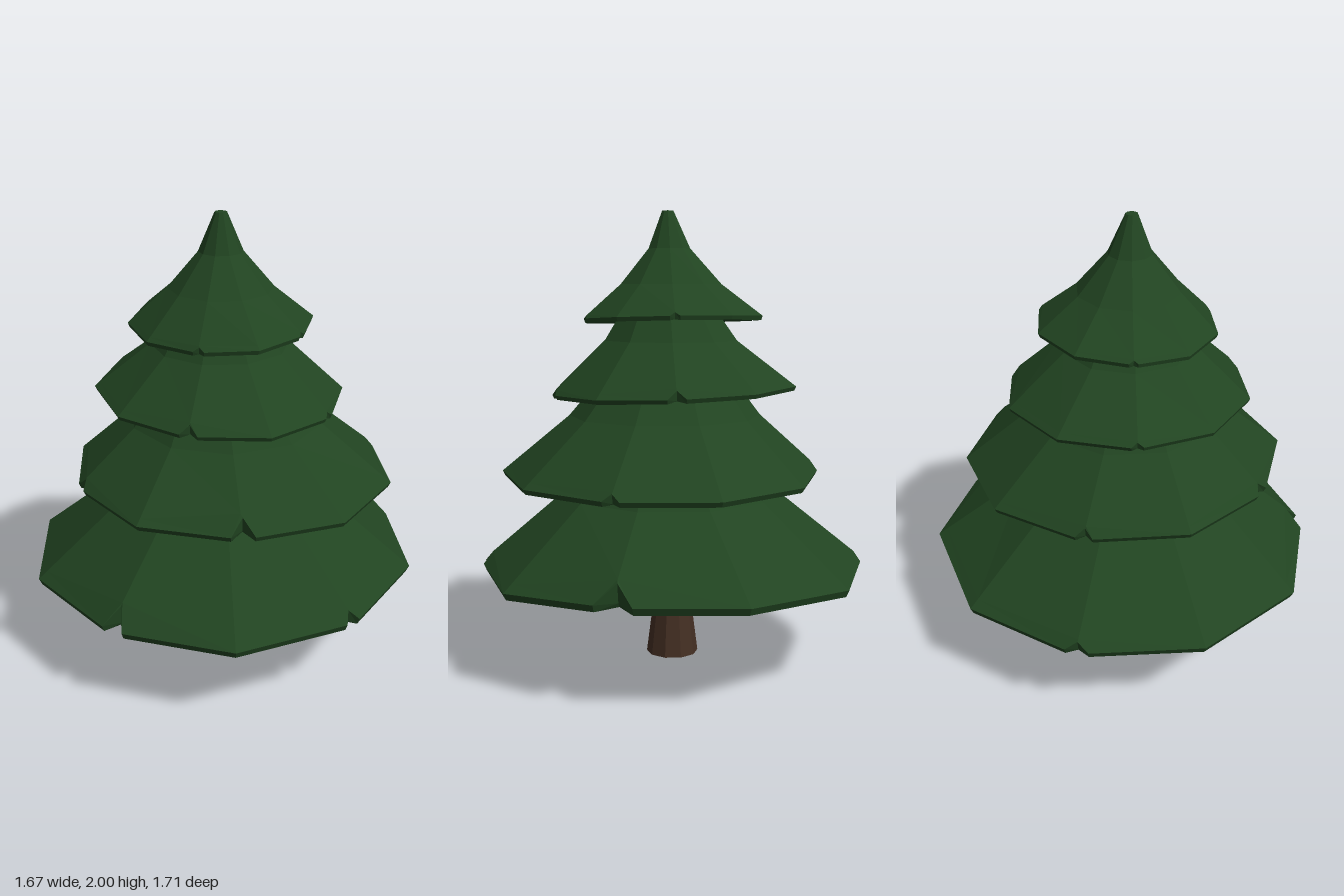
import * as THREE from 'three';

const SIDES = 10;
const needleMat = new THREE.MeshStandardMaterial({ color: 0x214421, flatShading: true });
const barkMat = new THREE.MeshStandardMaterial({ color: 0x442f23, flatShading: true });
const TIP = { x: -0.025, z: 0.022 };

// rings: [radius, height] from the rim upward;
// notches: { corner: [depth as a share of the radius, width as a share of the side] };
// raised: { corner: extra height of the rim }
const tiers = [
  { name: 'bottomBranches', x: 0, z: 0, turn: 0, stretchZ: 1, thick: 0.03, tiltX: 0.003, tiltZ: 0,
    rings: [[0.877, 0.428], [0.485, 0.75], [0.27, 1.0]],
    notches: { 0: [0.06, 0.07], 2: [0.115, 0.16], 5: [0.05, 0.1], 8: [0.11, 0.1] },
    raised: { 2: 0.025, 3: 0.025 } },
  { name: 'lowerMiddleBranches', x: 0.017, z: 0.05, turn: 0, stretchZ: 0.99, thick: 0.022, tiltX: -0.018, tiltZ: 0,
    rings: [[0.722, 0.853], [0.43, 1.1], [0.22, 1.36]],
    notches: { 2: [0.05, 0.09], 5: [0.06, 0.09], 7: [0.06, 0.09], 9: [0.11, 0.12] }, raised: {} },
  { name: 'upperMiddleBranches', x: -0.015, z: 0, turn: Math.PI / 10, stretchZ: 1.035, thick: 0.018, tiltX: -0.005, tiltZ: -0.035,
    rings: [[0.54, 1.222], [0.3, 1.435], [0.14, 1.68]],
    notches: { 0: [0.04, 0.08], 2: [0.075, 0.12], 5: [0.04, 0.08], 8: [0.08, 0.12] }, raised: {} },
  { name: 'topBranches', x: -0.01, z: 0.003, turn: Math.PI / 10, stretchZ: 1.045, thick: 0.018, tiltX: 0.045, tiltZ: -0.015,
    rings: [[0.392, 1.533], [0.225, 1.68], [0.095, 1.835], [0.026, 2]],
    notches: { 0: [0.04, 0.08], 2: [0.045, 0.09], 5: [0.04, 0.08], 8: [0.05, 0.1] }, raised: {} },
];

// Outline of a tier as unit corners; a notched corner becomes two cut points with a dent between
function rimOutline({ turn, notches, raised }) {
  const corner = (k) => {
    const a = turn + (k * 2 * Math.PI) / SIDES;
    return new THREE.Vector2(Math.sin(a), Math.cos(a));
  };
  const out = [];
  for (let k = 0; k < SIDES; k++) {
    const p = corner(k), [notch, width] = notches[k] ?? [0, 0];
    const add = (rim, dent) => out.push({ rim, corner: p, dent, notch, raise: raised[k] ?? 0 });
    if (!notch) {
      add(p, 0);
      continue;
    }
    const cut = (side) => p.clone().lerp(corner(k + side), width).multiplyScalar(1 - notch * 0.15);
    add(cut(-1), 0);
    add(p.clone().multiplyScalar(1 - notch), notch);
    add(cut(1), 0);
  }
  return out;
}

// Skin neighbouring rows of points, leaving out collapsed triangles
function skin(rows) {
  const pos = [];
  const tri = (a, b, c) => {
    const n = b.clone().sub(a).cross(c.clone().sub(a));
    if (n.length() > 1e-8) pos.push(...a.toArray(), ...b.toArray(), ...c.toArray());
  };
  for (let j = 0; j < rows.length - 1; j++) {
    const n = rows[j].length;
    for (let i = 0; i < n; i++) {
      const k = (i + 1) % n;
      tri(rows[j][i], rows[j][k], rows[j + 1][i]);
      tri(rows[j][k], rows[j + 1][k], rows[j + 1][i]);
    }
  }
  const g = new THREE.BufferGeometry();
  g.setAttribute('position', new THREE.Float32BufferAttribute(pos, 3));
  g.computeVertexNormals();
  return g;
}

function tierGeometry(t) {
  const outline = rimOutline(t);
  const [[R, rimY], [midR, midY]] = t.rings;
  const last = t.rings.length - 1;
  const slope = (midY - rimY) / (R - midR);
  const rimPoint = (o, p, r, y) => new THREE.Vector3(
    t.x + p.x * r,
    y + o.raise + (t.tiltX * p.x + t.tiltZ * p.y) * r,
    t.z + p.y * r * t.stretchZ);
  // upper rings drift towards the tree tip
  const ring = (j) => {
    const [r, y] = t.rings[j], f = j / last;
    const cx = THREE.MathUtils.lerp(t.x, TIP.x, f), cz = THREE.MathUtils.lerp(t.z, TIP.z, f);
    const sz = THREE.MathUtils.lerp(t.stretchZ, 1, f);
    return outline.map((o) => new THREE.Vector3(cx + o.corner.x * r, y, cz + o.corner.y * r * sz));
  };
  // share of the way inward at which a notch has closed
  const closing = (o, innerR) => Math.max(0.1, (1.15 * o.notch * R) / (R - innerR));
  const lowY = rimY - t.thick, lowR = R * 0.985;
  const hollow = outline.map((o) => new THREE.Vector3(
    t.x + o.corner.x * R * 0.5, lowY + 0.05, t.z + o.corner.y * R * 0.5));
  const mid = ring(1);

  const rows = [
    // slightly hollow underside
    outline.map(() => new THREE.Vector3(t.x, lowY + 0.08, t.z)),
    hollow,
    outline.map((o, i) => rimPoint(o, o.corner, lowR, lowY).lerp(hollow[i], closing(o, R * 0.5))),
    // rim edge
    outline.map((o) => rimPoint(o, o.rim, lowR, lowY + o.dent * R * 0.25)),
    outline.map((o) => rimPoint(o, o.rim, R, rimY + o.dent * R * slope * 0.95)),
    // slope
    outline.map((o, i) => rimPoint(o, o.corner, R, rimY).lerp(mid[i], closing(o, midR))),
    mid,
  ];
  for (let j = 2; j <= last; j++) rows.push(ring(j));
  // closing cap
  rows.push(outline.map(() => new THREE.Vector3(TIP.x, t.rings[last][1], TIP.z)));
  return skin(rows);
}

export function createModel() {
  const tree = new THREE.Group();
  tree.name = 'pineTree';

  // trunk with a flared foot
  const profile = [[0, 0], [0.117, 0], [0.09, 0.21], [0.09, 0.6], [0, 0.6]];
  const trunk = new THREE.Mesh(
    new THREE.LatheGeometry(profile.map(([x, y]) => new THREE.Vector2(x, y)), SIDES), barkMat);
  trunk.name = 'trunk';
  trunk.position.set(-0.006, 0, 0.003);
  tree.add(trunk);

  // branch tiers
  for (const t of tiers) {
    const mesh = new THREE.Mesh(tierGeometry(t), needleMat);
    mesh.name = t.name;
    tree.add(mesh);
  }
  return tree;
}
